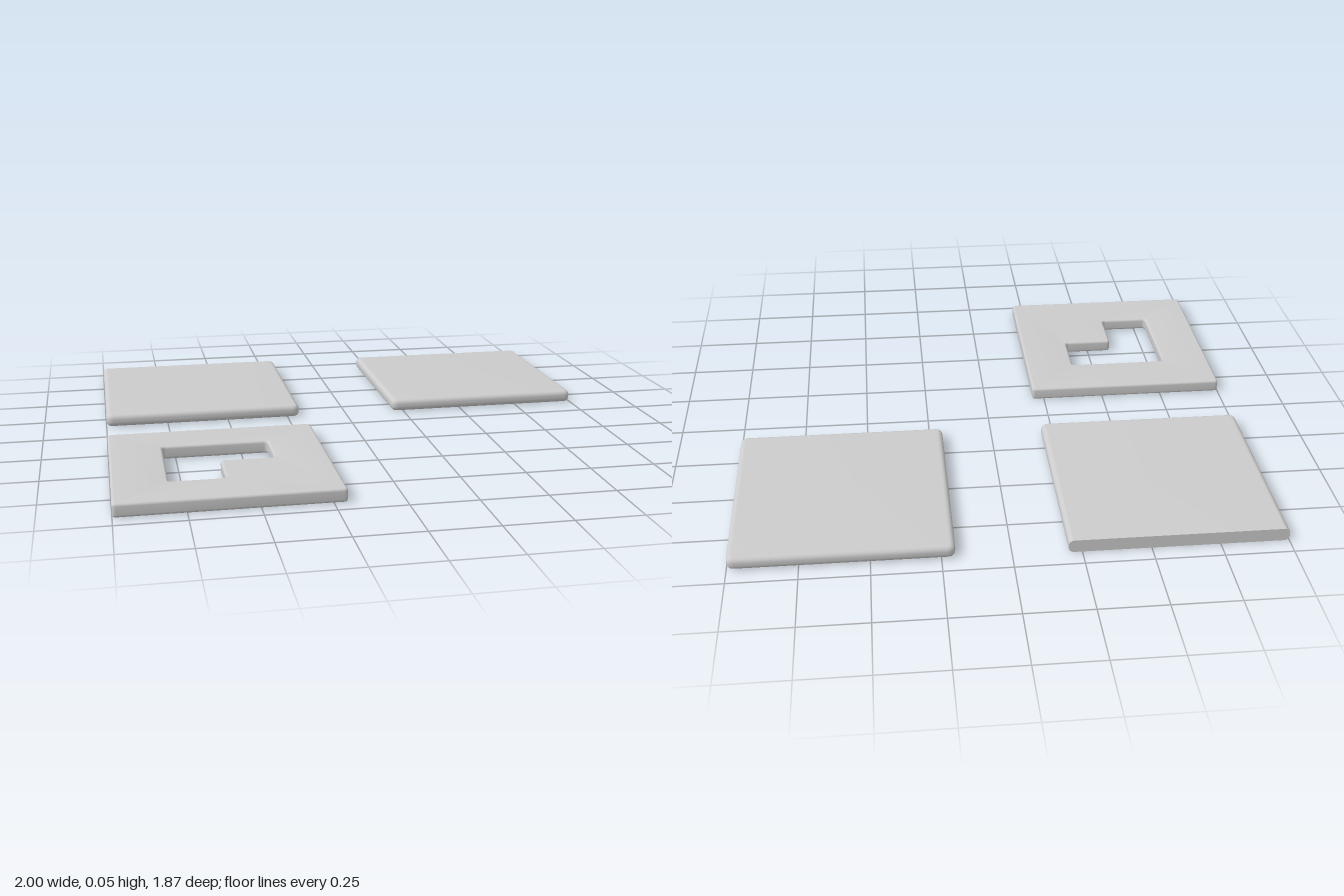
import * as THREE from 'three';
import { toCreasedNormals } from 'three/addons/utils/BufferGeometryUtils.js';

const SIZE = 0.8, HALF = SIZE / 2, THICK = 0.05;
const X = 0.6, Z = 0.533; // tile centres

// Closed outline through the corners, each rounded by r
function roundedOutline(path, corners, r) {
  const pts = corners.map(([x, y]) => new THREE.Vector2(x, y));
  const toward = (a, b) => b.clone().sub(a).setLength(r).add(a);
  pts.forEach((p, i) => {
    const a = toward(p, pts.at(i - 1));
    const b = toward(p, pts[(i + 1) % pts.length]);
    if (i === 0) path.moveTo(a.x, a.y);
    else path.lineTo(a.x, a.y);
    path.quadraticCurveTo(p.x, p.y, b.x, b.y);
  });
  path.closePath();
  return path;
}

// Flat tile lying on y = 0, edges rounded by the given radius.
// backExtra lengthens the outline beyond the back edge (-z).
function tileGeometry(radius, holeCorners, backExtra = 0) {
  const back = HALF + backExtra;
  const shape = roundedOutline(
    new THREE.Shape(),
    [[-HALF, -HALF], [HALF, -HALF], [HALF, back], [-HALF, back]],
    radius * 1.5
  );
  if (holeCorners) shape.holes.push(roundedOutline(new THREE.Path(), holeCorners, radius * 1.5));
  const geometry = new THREE.ExtrudeGeometry(shape, {
    depth: THICK - 2 * radius,
    bevelThickness: radius,
    bevelSize: radius,
    bevelOffset: -radius,
    bevelSegments: 6,
    curveSegments: 6,
  });
  geometry.translate(0, 0, radius);
  geometry.rotateX(-Math.PI / 2);
  return geometry;
}

// Smooth the roundings; done at a larger scale so close vertices stay distinct
function smooth(geometry) {
  geometry.scale(100, 100, 100);
  const result = toCreasedNormals(geometry, 0.6);
  result.scale(0.01, 0.01, 0.01);
  return result;
}

export function createModel() {
  const group = new THREE.Group();
  const material = new THREE.MeshStandardMaterial({ color: 0xcccccc });

  const add = (name, geometry, x, z) => {
    const mesh = new THREE.Mesh(smooth(geometry), material);
    mesh.name = name;
    mesh.position.set(x, 0, z);
    group.add(mesh);
  };

  // Tile rounded on all four sides
  add('roundedTile', tileGeometry(0.02), X, -Z);

  // Tile rounded on three sides, its back cut off square
  const cut = tileGeometry(0.02, null, 0.05);
  const pos = cut.attributes.position;
  for (let i = 0; i < pos.count; i++) pos.setZ(i, Math.max(pos.getZ(i), -HALF));
  add('squareBackedTile', cut, -X, -Z);

  // Tile with an L-shaped opening and finer edges
  const opening = [[-0.2, -0.2], [0, -0.2], [0, 0], [0.2, 0], [0.2, 0.2], [-0.2, 0.2]];
  add('openTile', tileGeometry(0.01, opening), -X, Z);

  return group;
}
